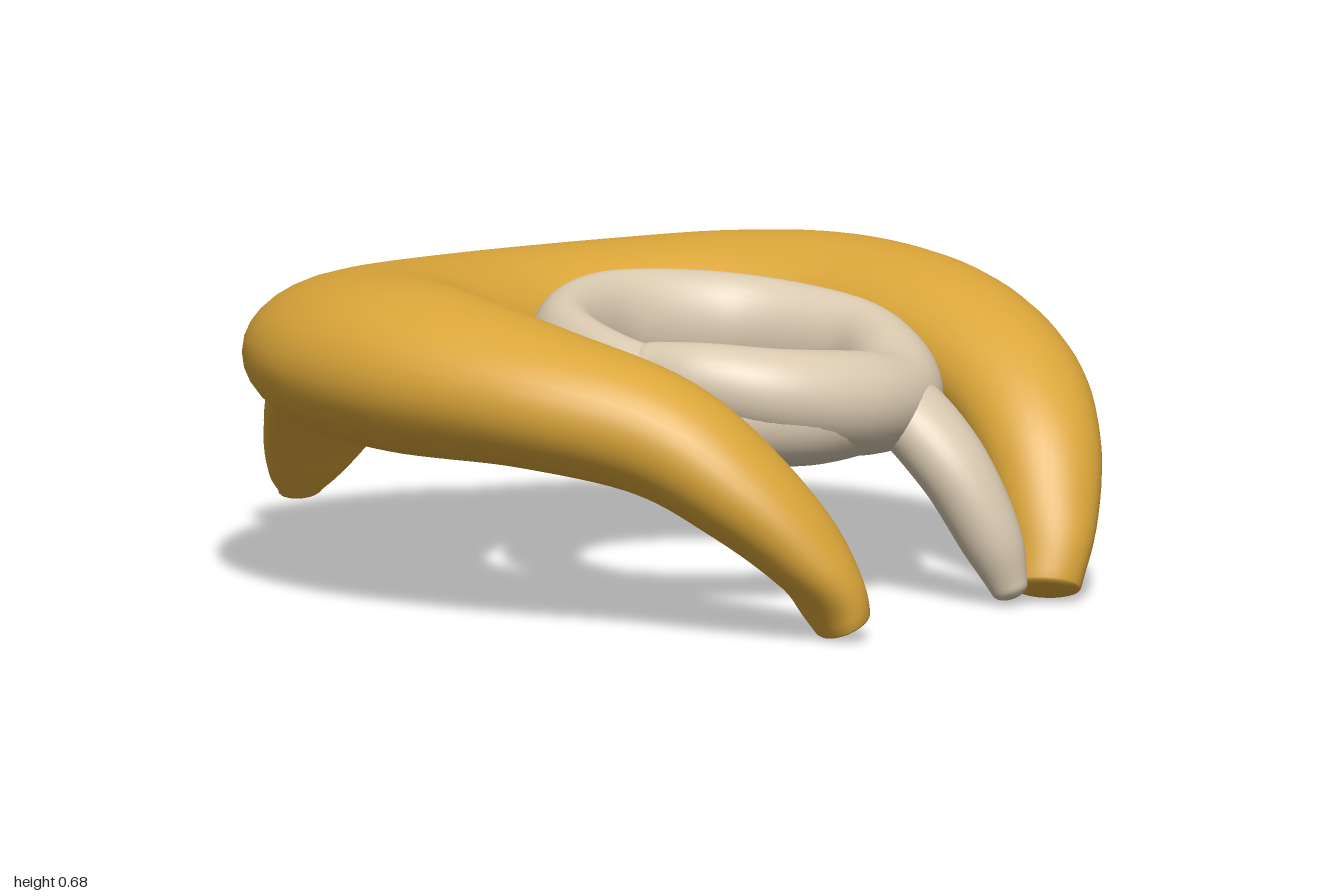
import * as THREE from 'three';

// Sweeps an ellipse along stations [x, y, z, half width, half height], with domed ends.
function sweep(stations, steps, startDome, endDome, sides = 36) {
  const path = new THREE.CatmullRomCurve3(stations.map(s => new THREE.Vector3(s[0], s[1], s[2])), false, 'catmullrom', 0.5);
  const size = new THREE.CatmullRomCurve3(stations.map(s => new THREE.Vector3(s[3], s[4], 0)), false, 'catmullrom', 0.5);
  const rows = [];
  const domeSteps = 5;
  for (let k = domeSteps; k > 0; k--) {
    const q = (k / domeSteps) * Math.PI / 2;
    rows.push({ t: 0, scale: Math.max(Math.cos(q), 0.001), push: -startDome * Math.sin(q) });
  }
  for (let i = 0; i <= steps; i++) rows.push({ t: i / steps, scale: 1, push: 0 });
  for (let k = 1; k <= domeSteps; k++) {
    const q = (k / domeSteps) * Math.PI / 2;
    rows.push({ t: 1, scale: Math.max(Math.cos(q), 0.001), push: endDome * Math.sin(q) });
  }

  const positions = [], indices = [];
  const worldUp = new THREE.Vector3(0, 1, 0);
  rows.forEach(({ t, scale, push }, i) => {
    const tangent = path.getTangent(t);
    const centre = path.getPoint(t).addScaledVector(tangent, push);
    const r = size.getPoint(t);
    const side = new THREE.Vector3().crossVectors(tangent, worldUp).normalize();
    const up = new THREE.Vector3().crossVectors(side, tangent);
    for (let j = 0; j < sides; j++) {
      const q = (j / sides) * Math.PI * 2;
      const p = centre.clone()
        .addScaledVector(side, Math.cos(q) * r.x * scale)
        .addScaledVector(up, Math.sin(q) * r.y * scale);
      positions.push(p.x, Math.max(p.y, 0), p.z);
      if (i < rows.length - 1) {
        const a = i * sides + j, b = i * sides + (j + 1) % sides;
        indices.push(a, a + sides, b, b, a + sides, b + sides);
      }
    }
  });
  const geometry = new THREE.BufferGeometry();
  geometry.setAttribute('position', new THREE.Float32BufferAttribute(positions, 3));
  geometry.setIndex(indices);
  geometry.computeVertexNormals();
  return geometry;
}

export function createModel() {
  const model = new THREE.Group();
  model.name = 'curledRingModel';
  const ochre = new THREE.MeshStandardMaterial({ color: 0xdaa539 });
  ochre.name = 'ochre';
  const beige = new THREE.MeshStandardMaterial({ color: 0xd9c9b0 });
  beige.name = 'beige';

  const add = (name, geometry, material) => {
    const mesh = new THREE.Mesh(geometry, material);
    mesh.name = name;
    model.add(mesh);
  };

  // Thick horseshoe body whose two arms bend down to the ground
  add('horseshoeBody', sweep([
    [-0.27, 0.035, 0.91, 0.115, 0.06],
    [-0.33, 0.17, 0.87, 0.13, 0.085],
    [-0.42, 0.31, 0.755, 0.15, 0.11],
    [-0.505, 0.42, 0.6, 0.16, 0.13],
    [-0.595, 0.48, 0.35, 0.2, 0.148],
    [-0.615, 0.505, 0.05, 0.24, 0.175],
    [-0.52, 0.5, -0.19, 0.275, 0.175],
    [-0.29, 0.475, -0.36, 0.285, 0.17],
    [0.05, 0.455, -0.435, 0.268, 0.165],
    [0.36, 0.46, -0.35, 0.26, 0.16],
    [0.545, 0.475, -0.19, 0.245, 0.16],
    [0.63, 0.485, 0.05, 0.222, 0.16],
    [0.61, 0.475, 0.35, 0.19, 0.145],
    [0.55, 0.41, 0.6, 0.16, 0.125],
    [0.47, 0.3, 0.77, 0.13, 0.105],
    [0.4, 0.16, 0.865, 0.1, 0.08],
    [0.345, 0.035, 0.905, 0.075, 0.06],
  ], 110, 0.015, 0.015), ochre);

  // Flattened spur curving down behind the body
  add('rearSpur', sweep([
    [0.04, 0.46, -0.5, 0.32, 0.12],
    [0.04, 0.425, -0.66, 0.31, 0.105],
    [0.045, 0.325, -0.79, 0.24, 0.085],
    [0.055, 0.215, -0.89, 0.165, 0.062],
    [0.065, 0.11, -0.955, 0.1, 0.04],
    [0.07, 0.06, -0.98, 0.055, 0.022],
  ], 40, 0.02, 0.02), ochre);

  // Inner coil: one turn and a bit, its raised stub resting on the front
  // [angle in degrees from left through the front, radius, y, half width, half height]
  const coil = [
    [14, 0.34, 0.5, 0.06, 0.07], [35, 0.35, 0.49, 0.08, 0.085], [60, 0.345, 0.46, 0.1, 0.1],
    [90, 0.335, 0.43, 0.115, 0.11], [120, 0.34, 0.415, 0.105, 0.1], [150, 0.34, 0.44, 0.09, 0.105],
    [180, 0.342, 0.47, 0.08, 0.11], [225, 0.35, 0.495, 0.08, 0.115], [270, 0.36, 0.51, 0.08, 0.12],
    [315, 0.35, 0.495, 0.078, 0.12], [360, 0.342, 0.465, 0.075, 0.11], [395, 0.34, 0.43, 0.085, 0.105],
    [430, 0.335, 0.41, 0.1, 0.1], [470, 0.33, 0.41, 0.1, 0.09],
  ].map(([deg, radius, y, a, b]) => {
    const q = THREE.MathUtils.degToRad(deg);
    return [0.025 - Math.cos(q) * radius, y, 0.31 + Math.sin(q) * radius, a, b];
  });
  add('innerCoil', sweep(coil, 110, 0.05, 0.03), beige);

  // Tapered tail hanging from the front of the coil
  add('coilTail', sweep([
    [0.15, 0.44, 0.6, 0.1, 0.07],
    [0.175, 0.39, 0.68, 0.1, 0.075],
    [0.205, 0.28, 0.78, 0.088, 0.075],
    [0.24, 0.14, 0.85, 0.068, 0.065],
    [0.258, 0.04, 0.885, 0.036, 0.04],
  ], 36, 0.03, 0.025), beige);

  return model;
}
